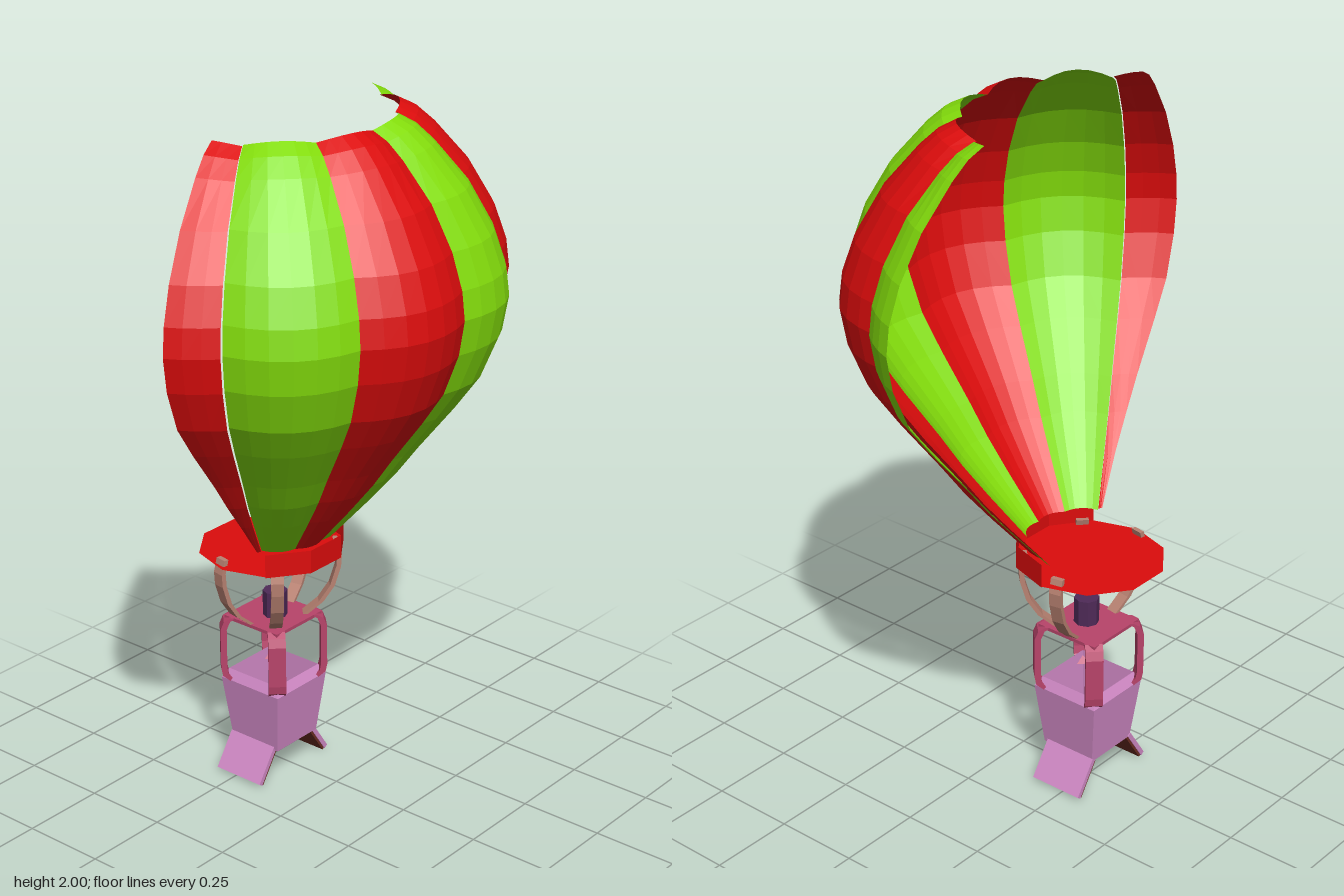
import * as THREE from 'three';

const mat = (color) => new THREE.MeshStandardMaterial({ color, flatShading: true, side: THREE.DoubleSide });
const RED = mat(0xdc0c0c), GREEN = mat(0x84de0c), ROPE = mat(0xb98272), PINK = mat(0xb8446a);
const LILAC = mat(0xcf88c4), PURPLE = mat(0x4f2a58), BROWN = mat(0x6b2d22);

function add(parent, name, geometry, material, x = 0, y = 0, z = 0) {
  const mesh = new THREE.Mesh(geometry, material);
  mesh.name = name;
  mesh.position.set(x, y, z);
  parent.add(mesh);
  return mesh;
}

// envelope profile: [radius, height] from mouth to open crown
const PROFILE = [[0.18, 0.765], [0.29, 0.89], [0.365, 0.98], [0.43, 1.07], [0.53, 1.2], [0.60, 1.3], [0.648, 1.42],
  [0.665, 1.52], [0.655, 1.6], [0.62, 1.7], [0.55, 1.82], [0.455, 1.93], [0.405, 1.975], [0.355, 2.0]];
const GORE = 32; // degrees covered by a whole fabric panel

// one bulging panel between two edge angles; each edge drifts by its flare toward the mouth
function goreGeometry(start, end, startFlare = 0, endFlare = 0, swell = 1) {
  const sweep = Math.abs(end - start), cols = sweep < GORE ? 3 : 6, pos = [], index = [];
  for (const [r, y] of PROFILE) {
    const low = Math.max(0, (1.35 - y) / 0.585) ** 1.5;
    for (let i = 0; i <= cols; i++) {
      const u = i / cols;
      const bulge = Math.sin(Math.PI * u * sweep / GORE);
      const a = THREE.MathUtils.degToRad(THREE.MathUtils.lerp(start + startFlare * low, end + endFlare * low, u));
      const rr = r * swell * (0.953 + 0.054 * bulge);
      const dip = Math.max(0, y - 1.8) * 0.08 * (1 - bulge);
      pos.push(rr * Math.cos(a), y - dip, rr * Math.sin(a));
    }
  }
  const n = cols + 1;
  for (let j = 0; j < PROFILE.length - 1; j++) for (let i = 0; i < cols; i++) {
    const a = j * n + i, b = a + 1, c = a + n, d = c + 1;
    if (end > start) index.push(a, c, b, b, c, d);
    else index.push(a, b, c, b, d, c);
  }
  const g = new THREE.BufferGeometry();
  g.setAttribute('position', new THREE.Float32BufferAttribute(pos, 3));
  g.setIndex(index);
  g.computeVertexNormals();
  return g;
}

// flat bar following a radial outline, turned about the vertical axis
function strip(parent, name, path, thick, width, degrees, material) {
  const outer = path.map(([r, y]) => new THREE.Vector2(r, y));
  const inner = path.map(([r, y]) => new THREE.Vector2(r - thick, y)).reverse();
  const g = new THREE.ExtrudeGeometry(new THREE.Shape([...outer, ...inner]), { depth: width, bevelEnabled: false });
  g.translate(0, 0, -width / 2);
  add(parent, name, g, material).rotation.y = -THREE.MathUtils.degToRad(degrees);
}

export function createModel() {
  const model = new THREE.Group();
  model.name = 'halfBalloon';

  // striped half envelope, with a torn part-panel at each end
  const envelope = new THREE.Group();
  envelope.name = 'envelope';
  envelope.position.set(-0.23, 0, 0.006);
  [-68, -36, -4, 28].forEach((seam, i) =>
    add(envelope, 'envelopePanel', goreGeometry(seam, seam + GORE, i ? 0 : -14), i % 2 ? GREEN : RED));
  add(envelope, 'tornFrontPanel', goreGeometry(60, 72, 0, -9, 1.035), RED);
  add(envelope, 'tornBackPanel', goreGeometry(-68, -80, -14, -13, 1.02), GREEN);
  model.add(envelope);

  // ten-sided mouth disc and the partial band standing on it
  const mouth = new THREE.Group();
  mouth.name = 'mouth';
  mouth.position.set(-0.23, 0, 0.0125);
  const disc = add(mouth, 'mouthDisc', new THREE.CircleGeometry(0.213, 10), RED, 0, 0.705, 0);
  disc.rotation.set(-Math.PI / 2, 0, Math.PI / 10);
  const step = Math.PI / 5;
  add(mouth, 'mouthBand',
    new THREE.CylinderGeometry(0.213, 0.213, 0.07, 4, 1, true, step, step * 4), RED, 0, 0.737, 0);
  model.add(mouth);

  const gondola = new THREE.Group();
  gondola.name = 'gondola';
  gondola.position.set(-0.223, 0, 0.018);
  model.add(gondola);

  // curved ropes from frame to mouth
  const ropePath = [[0.095, 0.488], [0.145, 0.53], [0.178, 0.58], [0.196, 0.64], [0.199, 0.68], [0.188, 0.722]];
  for (const angle of [45, -45, 100, -100]) strip(gondola, 'rope', ropePath, 0.014, 0.036, angle, ROPE);

  // burner on a square top plate held by four bent corner posts
  add(gondola, 'burner', new THREE.CylinderGeometry(0.036, 0.036, 0.09, 8), PURPLE, 0.008, 0.525, 0);
  add(gondola, 'topPlate', new THREE.BoxGeometry(0.2, 0.01, 0.2), PINK, 0, 0.487, 0);
  const postPath = [[0.125, 0.285], [0.15, 0.305], [0.155, 0.33], [0.155, 0.455], [0.145, 0.48], [0.125, 0.492]];
  for (const angle of [45, 135, 225, 315]) strip(gondola, 'cornerPost', postPath, 0.018, 0.05, angle, PINK);

  // tapered open basket: four-sided lathe with wall thickness and floor
  const q = Math.SQRT2;
  const wall = [[0, 0.1], [0.087, 0.1], [0.108, 0.29], [0.092, 0.318], [0.076, 0.115], [0, 0.115]]
    .map(([r, y]) => new THREE.Vector2(r * q, y));
  add(gondola, 'basket', new THREE.LatheGeometry(wall, 4, Math.PI / 4), LILAC);

  // splayed flaps under the basket with brown inner faces
  for (const side of [1, -1]) {
    const flap = new THREE.Group();
    flap.name = 'footFlap';
    flap.position.set(-0.008, 0.056, side * 0.112);
    flap.rotation.x = -side * 0.59;
    add(flap, 'flapOuter', new THREE.BoxGeometry(0.165, 0.118, 0.014), LILAC, 0, 0, side * 0.004);
    add(flap, 'flapInner', new THREE.BoxGeometry(0.16, 0.114, 0.008), BROWN, 0, 0, -side * 0.006);
    gondola.add(flap);
  }
  return model;
}
